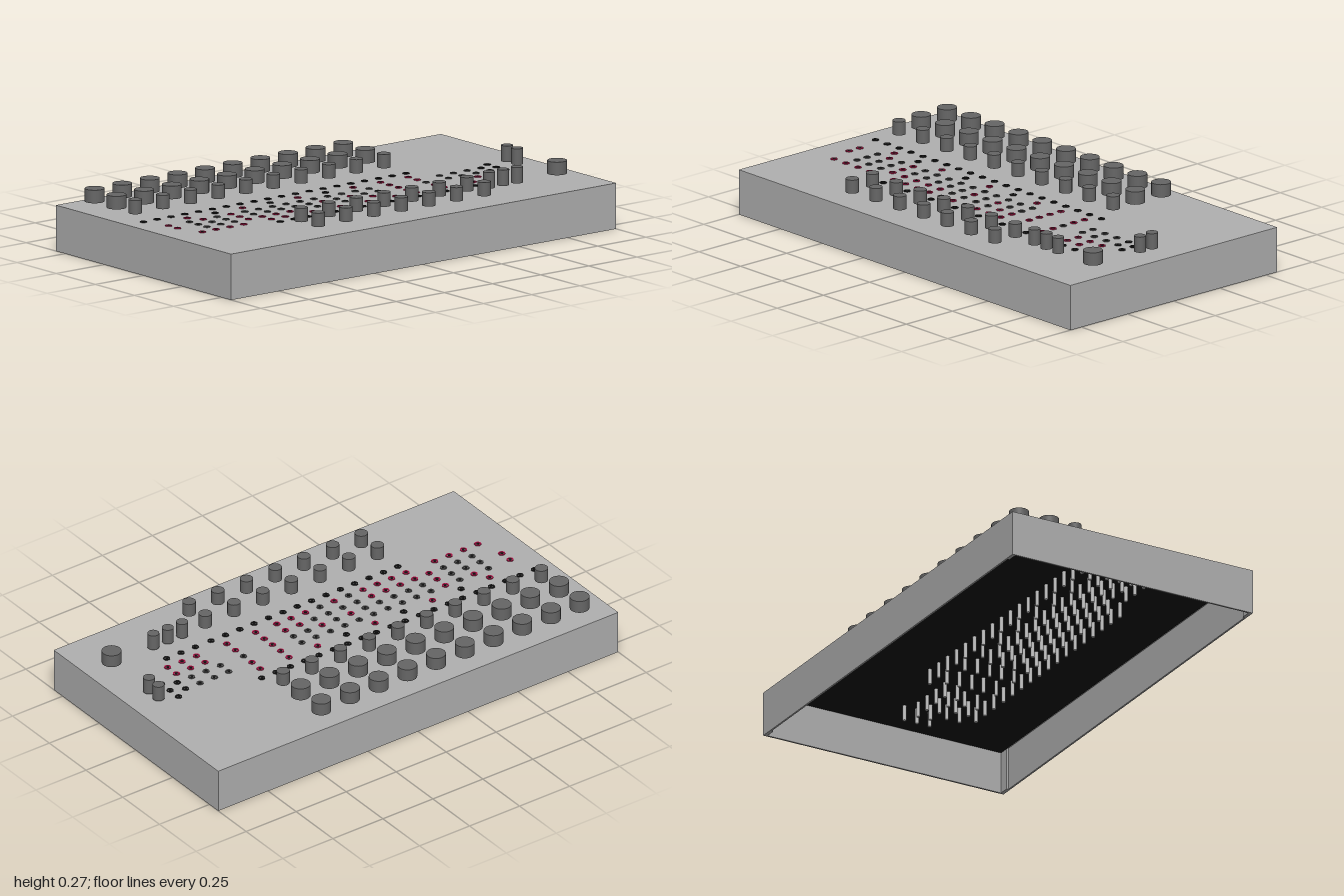
import * as THREE from 'three';

const mat = (name, color, side = THREE.FrontSide) => {
  const m = new THREE.MeshStandardMaterial({ color, side });
  m.name = name;
  return m;
};

export function createModel() {
  const root = new THREE.Group();
  root.name = 'controlPanel';
  const panelGrey = mat('panelGrey', 0xb0b0b0);
  const knobGrey = mat('knobGrey', 0x666666);
  const boardBlack = mat('boardBlack', 0x141414);
  const pinGrey = mat('pinGrey', 0xc4c4c4);
  const ringColours = {
    k: mat('ringBlack', 0x1c1c1c),
    r: mat('ringCrimson', 0xb3164a),
    g: mat('ringGrey', 0x4c4c4c),
  };

  const add = (parent, name, geo, material, x, y, z) => {
    const mesh = new THREE.Mesh(geo, material);
    mesh.name = name;
    mesh.position.set(x, y, z);
    parent.add(mesh);
    return mesh;
  };
  const group = (name) => {
    const g = new THREE.Group();
    g.name = name;
    root.add(g);
    return g;
  };

  // Sheet metal case, open underneath
  const H = 0.19, D = 0.56, T = 0.008;
  const housing = group('housing');
  add(housing, 'topPlate', new THREE.BoxGeometry(2, T, 2 * D), panelGrey, 0, H - T / 2, 0);
  for (const s of [1, -1]) {
    add(housing, s > 0 ? 'frontWall' : 'backWall',
      new THREE.BoxGeometry(2, H - T, T), panelGrey, 0, (H - T) / 2, s * (D - T / 2));
    add(housing, s > 0 ? 'leftWall' : 'rightWall',
      new THREE.BoxGeometry(T, H - T, 2 * (D - T)), panelGrey, s * (1 - T / 2), (H - T) / 2, 0);
    // Folded corner tabs
    for (const e of [1, -1]) {
      add(housing, 'cornerTab', new THREE.BoxGeometry(0.045, H - T, T), panelGrey,
        e * (1 - T - 0.0225), (H - T) / 2, s * (D - T * 1.5));
    }
  }
  // Black lining below the top plate
  add(housing, 'circuitBoard', new THREE.BoxGeometry(2 - 2 * T, 0.004, 2 * (D - 2 * T)),
    boardBlack, 0, H - T - 0.002, 0);

  // Knobs
  const knobs = group('knobs');
  const knobGeo = {
    large: new THREE.CylinderGeometry(0.04, 0.04, 0.054, 32),
    medium: new THREE.CylinderGeometry(0.027, 0.027, 0.057, 28),
    small: new THREE.CylinderGeometry(0.024, 0.024, 0.066, 28),
  };
  const knob = (size, x, z) =>
    add(knobs, size + 'Knob', knobGeo[size], knobGrey, x, size === 'small' ? 0.233 : 0.234, z);
  const column = (i) => -0.88 + i * 0.1435;
  for (let i = 0; i < 10; i++) {
    knob('large', column(i), -0.46);
    knob('large', column(i), -0.32);
    knob('medium', column(i), -0.2);
    if (i > 2) {
      knob('medium', column(i), 0.33);
      knob('medium', column(i), 0.44);
    }
  }
  for (const x of [0.527, 0.599, 0.671]) knob('small', x, 0.33);
  for (const z of [0.01, 0.075]) knob('small', 0.88, z);
  knob('large', 0.88, 0.33);

  // Sockets: a thin collar on top, a core, and a pin underneath
  const sockets = group('sockets');
  const outline = new THREE.Shape();
  outline.absarc(0, 0, 0.0145, 0, Math.PI * 2);
  const hole = new THREE.Path();
  hole.absarc(0, 0, 0.0085, 0, Math.PI * 2, true);
  outline.holes.push(hole);
  const collarGeo = new THREE.ExtrudeGeometry(outline,
    { depth: 0.003, bevelEnabled: false, curveSegments: 8 }).rotateX(-Math.PI / 2);
  const coreGeo = new THREE.CylinderGeometry(0.0055, 0.0055, 0.003, 10);
  const pinGeo = new THREE.CylinderGeometry(0.008, 0.008, 0.066, 10);
  const socket = (c, x, z) => {
    add(sockets, 'socketCollar', collarGeo, ringColours[c], x, H, z);
    add(sockets, 'socketCore', coreGeo, ringColours.k, x, H + 0.0015, z);
    add(sockets, 'socketPin', pinGeo, pinGrey, x, H - 0.044, z);
  };
  // Each row: depth, first x, step, then one letter per place
  const S = 0.0718;
  const rows = [
    [-0.104, -0.916, S, 'kkkkkkkkkkkkkkkkkkkk'],
    [-0.045, -0.736, 0.1435, 'rkrkrkrrr'],
    [0.013, -0.772, S, 'grgrggggggggggg'],
    [0.07, -0.772, S, 'gggrgggggrgrggg'.slice(0, 14)],
    [0.125, -0.772, S, 'gggrrrrrggggrr'],
    [0.184, -0.844, S, 'rrrr.rrrrgrgrrr'],
    [0.24, -0.485, S, 'kkkkkkkkkkkkkk'],
    [0.013, 0.527, S, 'gggk'],
    [0.07, 0.527, S, 'gggk'],
    [0.125, 0.563, S, 'rrr'],
    [0.184, 0.563, S, 'rrr'],
    [0.24, 0.527, S, 'kkk'],
  ];
  for (const [z, x0, step, places] of rows) {
    [...places.slice(0, z === 0.013 ? 14 : undefined)].forEach((c, i) => {
      if (c !== '.') socket(c, x0 + i * step, z);
    });
  }
  for (const z of [0.013, 0.07, 0.125, 0.184]) for (const x of [0.267, 0.411]) {
    socket(z === 0.07 && x > 0.4 ? 'g' : 'r', x, z);
  }
  for (const z of [0.013, 0.07]) socket('r', -0.88, z);
  for (const z of [-0.018, 0.04, 0.1]) socket('k', 0.8, z);

  return root;
}
